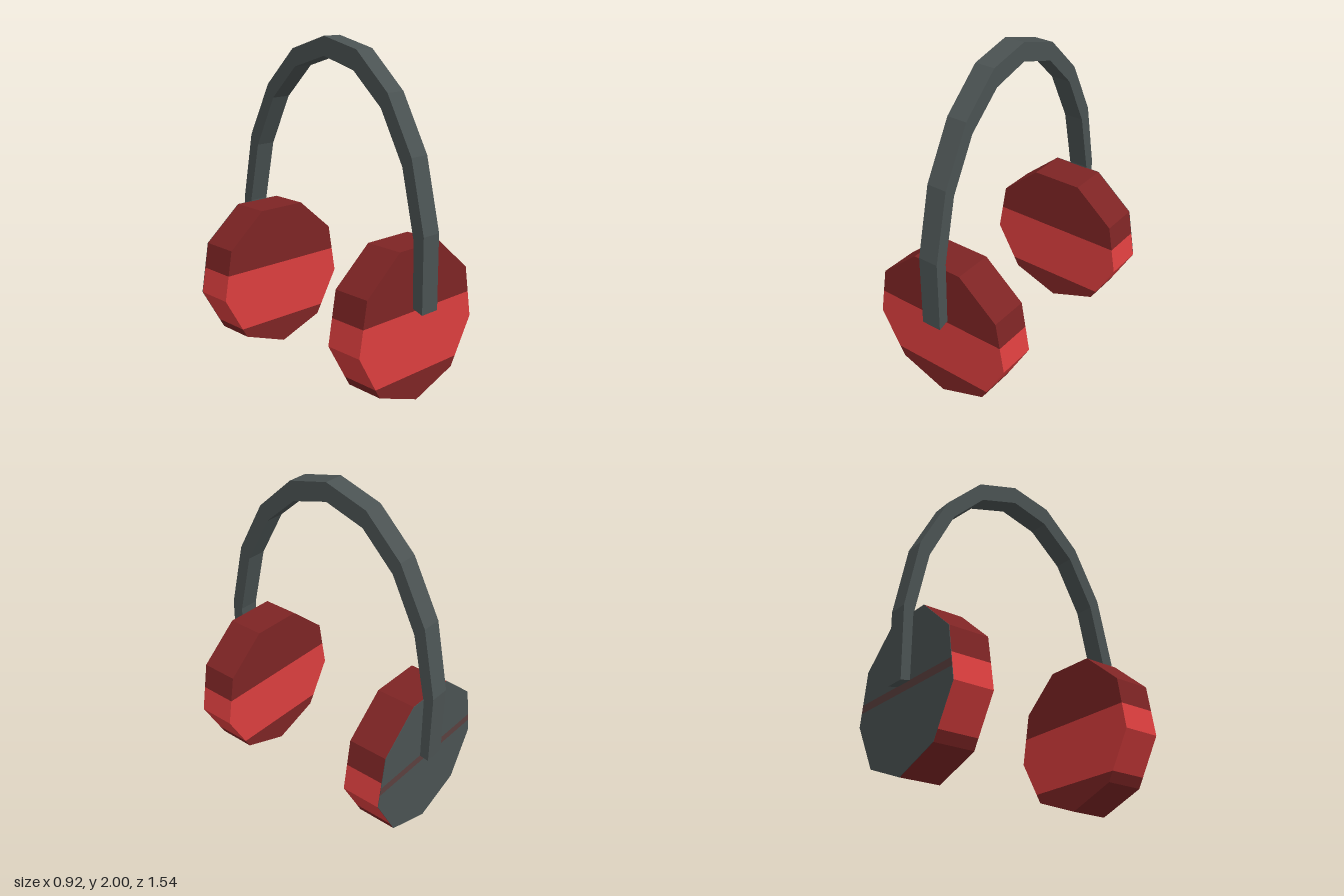
import * as THREE from 'three';

const material = (name, color) => {
  const m = new THREE.MeshStandardMaterial({ color, flatShading: true });
  m.name = name;
  return m;
};

// Right half of the nine-sided cup outline, bottom to top: [x, y]
const PROFILE = [[0, 0.003], [0.3, 0.112], [0.459, 0.388], [0.405, 0.701], [0.16, 0.91]];

// Half width of the cup at a given height
function halfWidth(y) {
  for (let i = 1; i < PROFILE.length; i++) {
    const [x0, y0] = PROFILE[i - 1], [x1, y1] = PROFILE[i];
    if (y <= y1) return x0 + (x1 - x0) * Math.max(0, (y - y0) / (y1 - y0));
  }
  return PROFILE[PROFILE.length - 1][0];
}

// Horizontal slice of the cup between two heights, from z0 to z1
function cupSlice(name, yLow, yHigh, z0, z1, mat) {
  const right = [
    [halfWidth(yLow), yLow],
    ...PROFILE.filter(([, y]) => y > yLow && y < yHigh),
    [halfWidth(yHigh), yHigh],
  ];
  const left = right.filter(([x]) => x > 0).map(([x, y]) => [-x, y]).reverse();
  const shape = new THREE.Shape([...right, ...left].map(([x, y]) => new THREE.Vector2(x, y)));
  const geometry = new THREE.ExtrudeGeometry(shape, { depth: z1 - z0, bevelEnabled: false });
  geometry.translate(0, 0, z0);
  const mesh = new THREE.Mesh(geometry, mat);
  mesh.name = name;
  return mesh;
}

export function createModel() {
  const red = material('bright red', 0xdb3e3e);
  const darkRed = material('dark red', 0x7d2424);
  const grey = material('slate grey', 0x4a5252);
  const brown = material('dull brown', 0x5a3f3e);
  const model = new THREE.Group();
  model.name = 'headphones';
  const bottom = 0.003, top = 0.91;

  // Ear cups, banded in two reds
  function earCup(name, z0, z1) {
    const cup = new THREE.Group();
    cup.name = name;
    cup.add(
      cupSlice('cupBottom', bottom, 0.17, z0, z1, darkRed),
      cupSlice('cupMiddle', 0.17, 0.545, z0, z1, red),
      cupSlice('cupTop', 0.545, top, z0, z1, darkRed),
    );
    model.add(cup);
    return cup;
  }
  earCup('frontEarCup', 0.458, 0.695);
  const rearCup = earCup('rearEarCup', -0.708, -0.465);

  // Grey outer plate with a thin stripe on the rear cup
  rearCup.add(
    cupSlice('plateLower', bottom, 0.465, -0.711, -0.708, grey),
    cupSlice('plateStripe', 0.465, 0.512, -0.711, -0.708, brown),
    cupSlice('plateUpper', 0.512, top, -0.711, -0.708, grey),
  );

  // Headband: outer and inner arch outlines as [z, y], front to back
  const outer = [[0.77, 0.545], [0.767, 0.985], [0.668, 1.4], [0.488, 1.725], [0.25, 1.94], [-0.01, 2],
    [-0.28, 1.915], [-0.513, 1.687], [-0.688, 1.353], [-0.772, 0.934], [-0.767, 0.5]];
  const inner = [[0.704, 0.567], [0.695, 0.955], [0.604, 1.342], [0.44, 1.64], [0.228, 1.825], [-0.01, 1.888],
    [-0.26, 1.81], [-0.466, 1.607], [-0.624, 1.294], [-0.705, 0.918], [-0.709, 0.51]];
  const arch = new THREE.Shape([...outer, ...inner.reverse()].map(([z, y]) => new THREE.Vector2(z, y)));
  const bandGeometry = new THREE.ExtrudeGeometry(arch, { depth: 0.125, bevelEnabled: false });
  bandGeometry.rotateY(-Math.PI / 2);
  bandGeometry.translate(0.069, 0, 0);
  const band = new THREE.Mesh(bandGeometry, grey);
  band.name = 'headband';
  model.add(band);

  return model;
}
